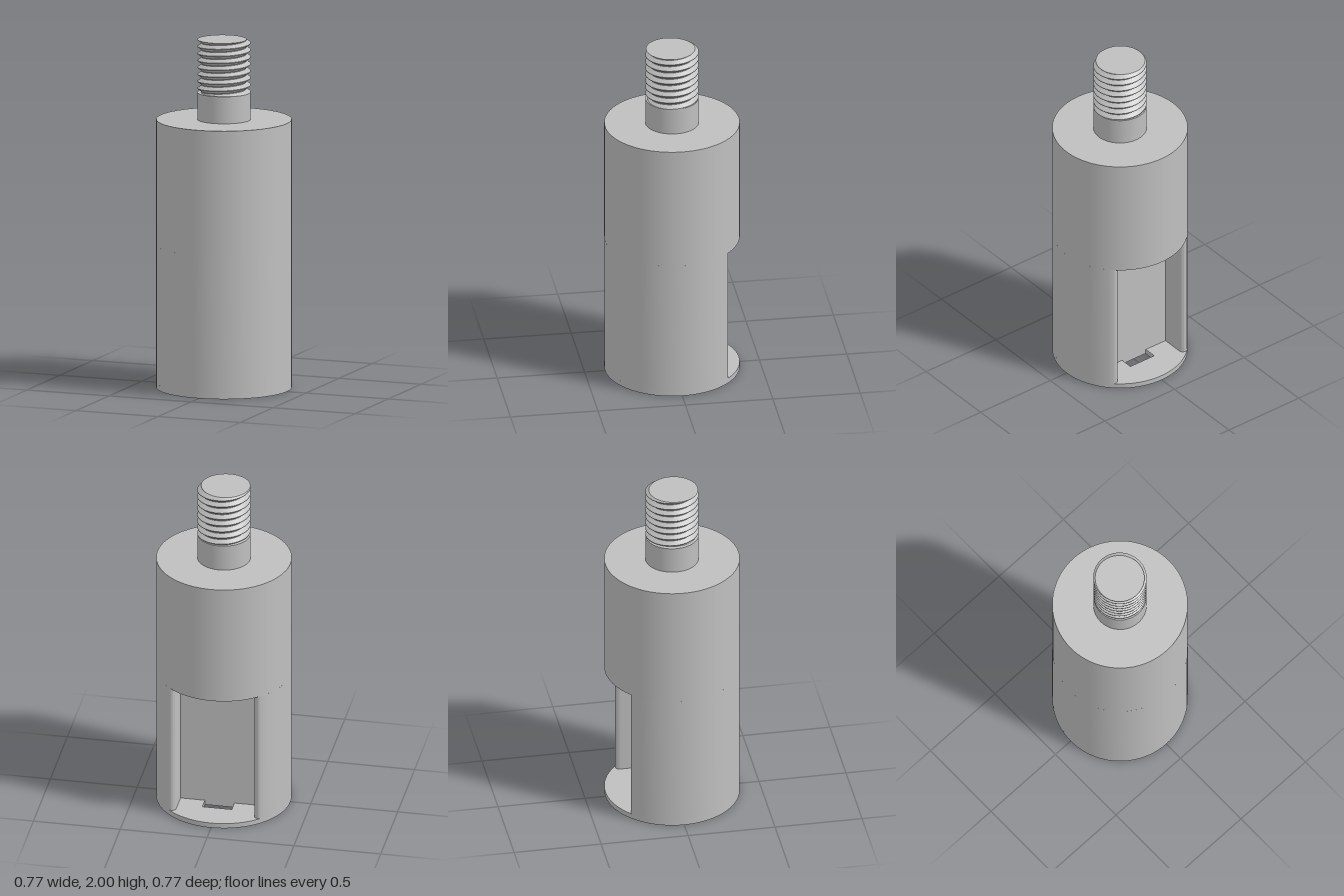
import * as THREE from 'three';
import { toCreasedNormals } from 'three/addons/utils/BufferGeometryUtils.js';

const R = 0.383, BODY_TOP = 1.54;               // body
const POCKET_LOW = 0.03, POCKET_HIGH = 0.82;    // pocket in the back
const SHAFT_R = 0.151, SHAFT_TOP = 1.695, TOP = 2;

// Extrude a plan shape (shape y points to the back) between two heights
function slab(shape, y0, y1) {
  const geo = new THREE.ExtrudeGeometry(shape, { depth: y1 - y0, bevelEnabled: false, curveSegments: 40 });
  geo.rotateX(-Math.PI / 2).translate(0, y0, 0);
  return toCreasedNormals(geo, 0.5);
}

// Disc with a rectangular slot
function basePlan() {
  const shape = new THREE.Shape().absarc(0, 0, R, 0, Math.PI * 2, false);
  const slot = new THREE.Path();
  slot.moveTo(-0.085, 0.125);
  slot.lineTo(-0.085, 0.205);
  slot.lineTo(0.085, 0.205);
  slot.lineTo(0.085, 0.125);
  slot.closePath();
  shape.holes.push(slot);
  return shape;
}

// Disc with a square pocket whose outer edges are rounded
function pocketPlan() {
  const half = 0.225, floor = 0.129, r = 0.025;
  const cx = half + r, cy = Math.sqrt((R - r) ** 2 - cx ** 2);
  const a = Math.atan2(cy, cx);
  const shape = new THREE.Shape();
  shape.absarc(0, 0, R, Math.PI - a, Math.PI * 2 + a, false);
  shape.absarc(cx, cy, r, a, Math.PI, false);
  shape.lineTo(half, floor);
  shape.lineTo(-half, floor);
  shape.lineTo(-half, cy);
  shape.absarc(-cx, cy, r, 0, Math.PI - a, false);
  return shape;
}

// Helical V thread, cut flat at both ends and closed on top
function threadGeometry() {
  const pitch = 0.04, root = 0.127, seg = 72;
  const crestAngle = (235 / 360) * Math.PI * 2;
  const steps = [0, 0.08, 0.5, 0.58];           // crest flat, flank, root flat, flank
  const radius = (phase) => {
    const p = phase - Math.floor(phase);
    if (p < 0.08) return SHAFT_R;
    if (p < 0.5) return SHAFT_R - (SHAFT_R - root) * (p - 0.08) / 0.42;
    if (p < 0.58) return root;
    return root + (SHAFT_R - root) * (p - 0.58) / 0.42;
  };
  const rows = [];
  for (let turn = -10; turn <= 1; turn++) for (const s of steps) rows.push(turn + s);
  const pos = [], index = [];
  for (let i = 0; i <= rows.length; i++) {
    for (let j = 0; j <= seg; j++) {
      const t = (j / seg) * Math.PI * 2;
      const lead = (t - crestAngle) / (Math.PI * 2);
      const cap = i === rows.length;
      const y = cap ? TOP : THREE.MathUtils.clamp(TOP + pitch * (rows[i] + lead), SHAFT_TOP, TOP);
      const r = cap ? 0 : radius((y - TOP) / pitch - lead + 1e-6);
      pos.push(r * Math.cos(t), y, -r * Math.sin(t));
    }
  }
  const n = seg + 1;
  for (let i = 0; i < rows.length; i++) {
    for (let j = 0; j < seg; j++) {
      const a = i * n + j, b = a + 1, c = a + n, d = c + 1;
      index.push(a, b, d, a, d, c);
    }
  }
  const geo = new THREE.BufferGeometry();
  geo.setAttribute('position', new THREE.Float32BufferAttribute(pos, 3));
  geo.setIndex(index);
  return toCreasedNormals(geo, 0.5);
}

export function createModel() {
  const group = new THREE.Group();
  group.name = 'threadedHolder';
  const steel = new THREE.MeshStandardMaterial({ color: 0xbfbfbf });
  steel.name = 'grey steel';

  const add = (name, geo) => {
    const mesh = new THREE.Mesh(geo, steel);
    mesh.name = name;
    group.add(mesh);
  };

  // Body in three layers
  add('slottedBase', slab(basePlan(), 0, POCKET_LOW));
  add('pocketBody', slab(pocketPlan(), POCKET_LOW, POCKET_HIGH));
  add('upperBody', new THREE.CylinderGeometry(R, R, BODY_TOP - POCKET_HIGH, 80)
    .translate(0, (BODY_TOP + POCKET_HIGH) / 2, 0));

  // Stud
  add('shaft', new THREE.CylinderGeometry(SHAFT_R, SHAFT_R, SHAFT_TOP - BODY_TOP, 72)
    .translate(0, (SHAFT_TOP + BODY_TOP) / 2, 0));
  add('thread', threadGeometry());
  return group;
}
